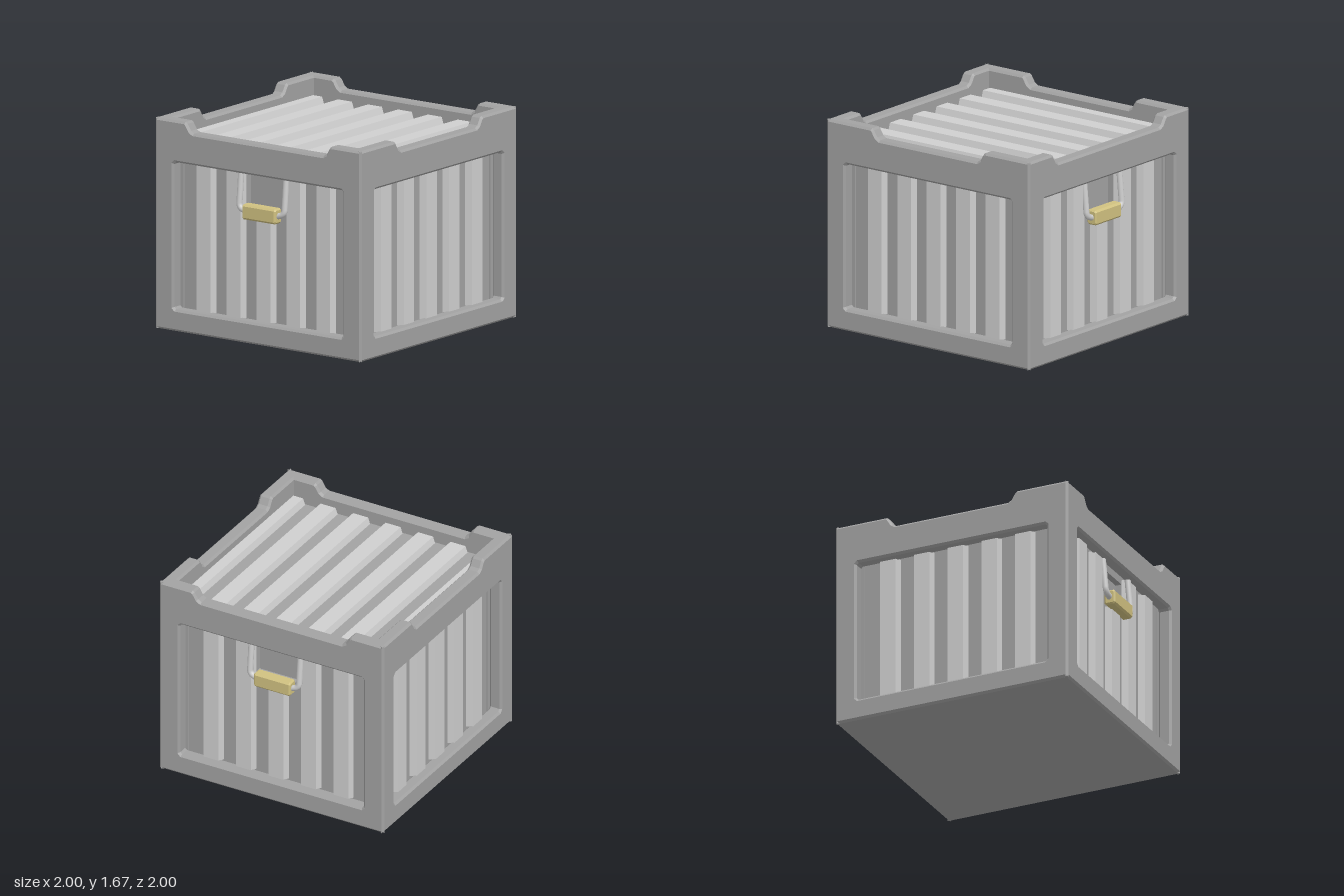
import * as THREE from 'three';

const material = (name, color) => {
  const m = new THREE.MeshStandardMaterial({ color });
  m.name = name;
  return m;
};

// Adds a named mesh to a parent
function add(parent, name, geometry, mat) {
  const mesh = new THREE.Mesh(geometry, mat);
  mesh.name = name;
  parent.add(mesh);
  return mesh;
}

const points = (list) => list.map(([x, y]) => new THREE.Vector2(x, y));

// Rectangle with cut corners, as a list of corners
function cutRect(x0, y0, x1, y1, c) {
  return points([
    [x0 + c, y0], [x1 - c, y0], [x1, y0 + c], [x1, y1 - c],
    [x1 - c, y1], [x0 + c, y1], [x0, y1 - c], [x0, y0 + c],
  ]);
}

// Chamfered plate of the given total thickness, centred on its own depth
function plate(shape, thickness, bevel) {
  return new THREE.ExtrudeGeometry(shape, {
    depth: thickness - 2 * bevel, bevelEnabled: bevel > 0, bevelThickness: bevel,
    bevelSize: bevel, bevelOffset: -bevel, bevelSegments: 1, curveSegments: 4,
  }).translate(0, 0, bevel - thickness / 2);
}

// Frame of one side: window opening and a dip along the top edge, mitred at the corners
function frameGeometry(dip) {
  const bevel = 0.017;
  const slope = [[0.03, 1.67], [0.012, 1.657], [-0.02, 1.605], [-0.05, 1.587]];
  const shape = new THREE.Shape(points([
    [-1, 0], [1, 0], [1, 1.67],
    ...slope.map(([x, y]) => [dip + x, y]),
    ...slope.slice().reverse().map(([x, y]) => [-dip - x, y]),
    [-1, 1.67],
  ]));
  shape.holes.push(new THREE.Path(cutRect(-0.82, 0.172, 0.82, 1.338, 0.016)));
  const geometry = plate(shape, 0.11, bevel).translate(0, 0, 0.945);
  const p = geometry.attributes.position;
  for (let i = 0; i < p.count; i++) {
    const limit = p.getZ(i) + bevel;
    p.setX(i, THREE.MathUtils.clamp(p.getX(i), -limit, limit));
  }
  geometry.computeVertexNormals();
  return geometry;
}

// Trapezoid rib running up from y0 to y1, its base at z = 0
function ribGeometry(y0, y1) {
  const section = new THREE.Shape(points([[-0.085, 0], [-0.067, -0.053], [0.067, -0.053], [0.085, 0]]));
  return new THREE.ExtrudeGeometry(section, { depth: y1 - y0, bevelEnabled: false })
    .rotateX(-Math.PI / 2).translate(0, y0, 0);
}

export function createModel() {
  const grey = material('frame grey', 0xa2a2a2);
  const light = material('rib light grey', 0xcfcfcf);
  const gold = material('grip gold', 0xd0c180);
  const crate = new THREE.Group();
  crate.name = 'crate';

  // Body inside the frames, and the floor
  add(crate, 'core', new THREE.BoxGeometry(1.74, 1.41, 1.65).translate(0, 0.725, 0), grey);
  add(crate, 'floor', new THREE.BoxGeometry(1.96, 0.06, 1.96).translate(0, 0.03, 0), grey);

  // Recessed panel, with or without the pocket behind the handle
  const panelGeometry = (pocket) => {
    const shape = new THREE.Shape(points([[-0.89, 0.03], [0.89, 0.03], [0.89, 1.45], [-0.89, 1.45]]));
    if (pocket) shape.holes.push(new THREE.Path(cutRect(-0.2, 1.04, 0.2, 1.31, 0.005)));
    return plate(shape, 0.07, 0).translate(0, 0, 0.84);
  };

  // Four sides; front and back carry handles
  for (let i = 0; i < 4; i++) {
    const hasHandle = i % 2 === 0;
    const side = new THREE.Group();
    side.name = ['front', 'left', 'back', 'right'][i] + 'Side';
    side.rotation.y = i * Math.PI / 2;
    crate.add(side);
    add(side, 'frame', frameGeometry(hasHandle ? 0.68 : 0.53), grey);
    add(side, 'panel', panelGeometry(hasHandle), grey);
    for (let k = -2; k <= 2; k++) {
      const top = hasHandle && k === 0 ? 1.0 : 1.345;
      add(side, 'rib', ribGeometry(0.165, top), light).position.set(k * 0.29, 0, 0.875);
    }
    if (hasHandle) side.add(createHandle(light, gold));
  }

  // Lid ribs run front to back; the outermost ones tuck into the frames
  const lid = new THREE.Group();
  lid.name = 'lid';
  lid.position.y = 1.465;
  crate.add(lid);
  for (let k = -3; k <= 3; k++) {
    const rib = add(lid, 'lidRib', ribGeometry(-0.88, 0.88), light);
    rib.rotation.x = -Math.PI / 2;
    rib.position.x = k * 0.29;
  }
  add(lid, 'lidPanel', new THREE.BoxGeometry(1.8, 0.04, 1.8).translate(0, -0.02, 0), grey);
  return crate;
}

// Hanging handle: two bent rods leaning outward and a chamfered grip
function createHandle(rodMat, gripMat) {
  const handle = new THREE.Group();
  handle.name = 'handle';
  for (const s of [-1, 1]) {
    const path = new THREE.CurvePath();
    const v = (x, y, z) => new THREE.Vector3(s * x, y, z);
    path.add(new THREE.LineCurve3(v(0.219, 1.36, 0.92), v(0.219, 1.09, 0.945)));
    path.add(new THREE.QuadraticBezierCurve3(v(0.219, 1.09, 0.945), v(0.219, 1.06, 0.948), v(0.19, 1.045, 0.95)));
    path.add(new THREE.LineCurve3(v(0.19, 1.045, 0.95), v(0.14, 1.03, 0.95)));
    add(handle, 'rod', new THREE.TubeGeometry(path, 24, 0.024, 10), rodMat);
  }
  const section = new THREE.Shape(cutRect(-0.046, 0.975, 0.046, 1.095, 0.015));
  add(handle, 'grip', plate(section, 0.325, 0.012).rotateY(Math.PI / 2).translate(0, 0, 0.95), gripMat);
  return handle;
}
